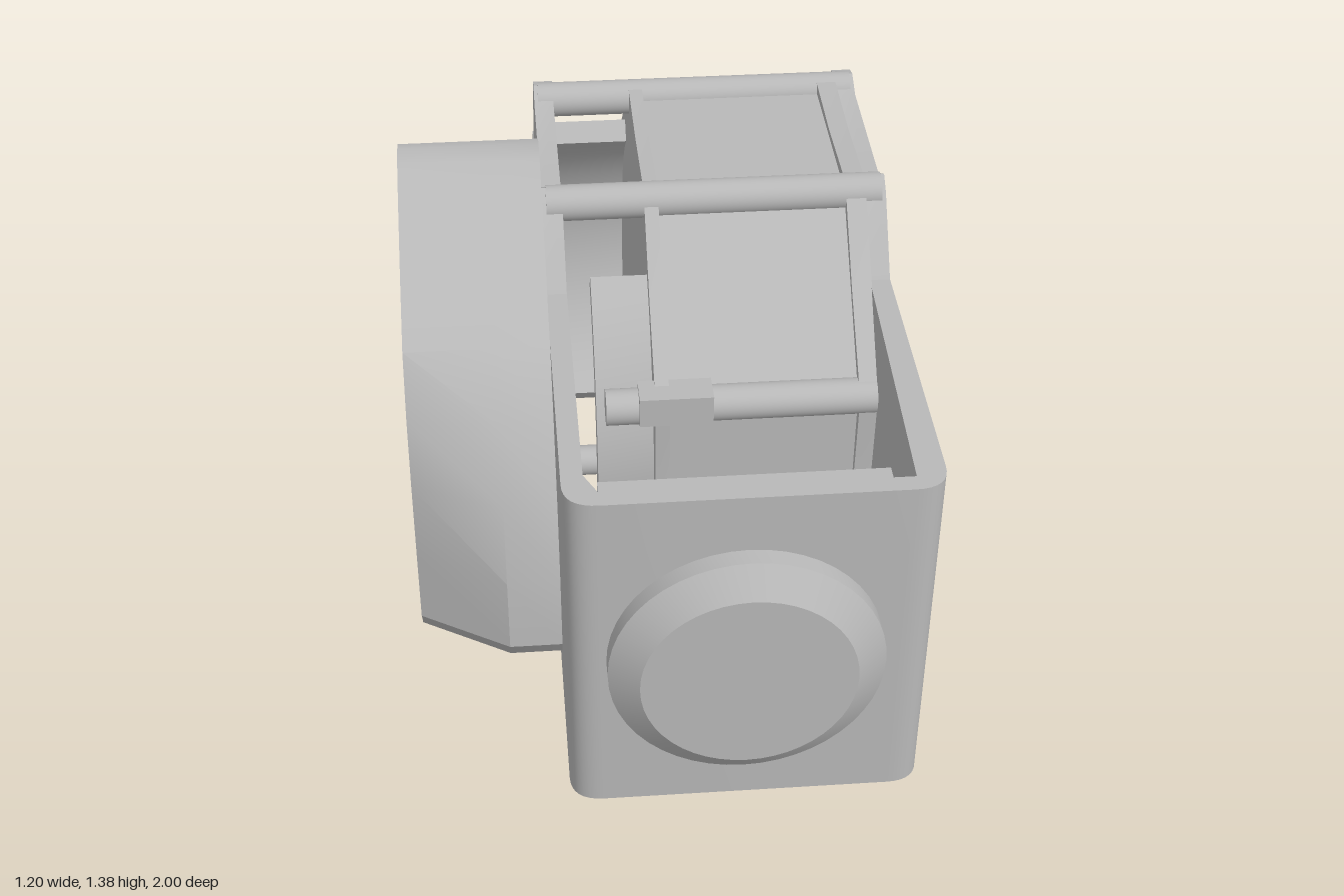
import * as THREE from 'three';
import { toCreasedNormals } from 'three/addons/utils/BufferGeometryUtils.js';

const grey = new THREE.MeshStandardMaterial({ color: 0xb8b8b8 });
grey.name = 'grey casting';
const CY = 0.68, CZ = -0.32; // drum axis

export function createModel() {
  const model = new THREE.Group();
  model.name = 'drumHousing';

  const add = (name, geometry, x = 0, y = 0, z = 0) => {
    const mesh = new THREE.Mesh(geometry, grey);
    mesh.name = name;
    mesh.position.set(x, y, z);
    model.add(mesh);
    return mesh;
  };
  const box = (name, x0, x1, y0, y1, z0, z1) =>
    add(name, new THREE.BoxGeometry(x1 - x0, y1 - y0, z1 - z0), (x0 + x1) / 2, (y0 + y1) / 2, (z0 + z1) / 2);
  const toV2 = pts => pts.map(([z, y]) => new THREE.Vector2(-z, y));
  // Slab cut from a (z, y) outline, running from x0 to x1
  const slab = (name, pts, x0, x1, hole) => {
    const shape = new THREE.Shape(toV2(pts));
    if (hole) shape.holes.push(new THREE.Path(toV2(hole)));
    const g = new THREE.ExtrudeGeometry(shape, { depth: x1 - x0, bevelEnabled: false });
    g.rotateY(Math.PI / 2);
    return add(name, toCreasedNormals(g, 0.5), x0);
  };
  const disc = (name, r, x0, x1, y = CY, z = CZ) => {
    const g = new THREE.CylinderGeometry(r, r, x1 - x0, 48);
    g.rotateZ(Math.PI / 2);
    return add(name, g, (x0 + x1) / 2, y, z);
  };
  const polar = (r, a) => [CZ + r * Math.cos(a), CY + r * Math.sin(a)];
  const corner = i => Math.PI / 8 + i * Math.PI / 4;

  // Side plates: an arm that widens into the eight-sided drum end
  const plate = [
    [0.1, 1.14], [-0.03, 1.31], [-0.07, 1.34], [-0.14, 1.3], [-0.52, 1.31], [-0.58, 1.34], [-0.62, 1.33],
    [-0.87, 0.99], [-0.96, 0.98], [-0.985, 0.93], [-0.94, 0.86], [-0.99, 0.78], [-1, 0.68], [-0.99, 0.58],
    [-0.94, 0.51], [-0.985, 0.45], [-0.98, 0.39], [-0.62, 0.02], [-0.58, 0.01], [-0.52, 0.05],
    [-0.3, 0.04], [-0.14, 0.05], [-0.07, 0.005], [-0.03, 0.03], [0.15, 0.21],
  ];
  const collar = [
    [0.11, 0.88], [-0.12, 1.11], [-0.42, 1.14], [-0.68, 1.02], [-0.76, 0.87],
    [-0.76, 0.48], [-0.47, 0.23], [-0.16, 0.25], [0.11, 0.48],
  ];
  const opening = [
    [0.08, 0.68], [-0.1, 1.01], [-0.32, 1.08], [-0.65, 0.9], [-0.66, 0.48], [-0.32, 0.29], [-0.12, 0.34],
  ];
  slab('leftSidePlate', plate, 0.55, 0.6, collar);
  slab('openingCollar', collar, 0.55, 0.596, opening);
  slab('rightSidePlate', plate, -0.25, -0.2);

  // U-shaped strap with rounded front corners (drawn in x and -z)
  const u = new THREE.Shape();
  u.moveTo(-0.25, -0.09);
  u.lineTo(-0.25, -0.83);
  u.quadraticCurveTo(-0.25, -0.905, -0.17, -0.905);
  u.lineTo(0.52, -0.905);
  u.quadraticCurveTo(0.6, -0.905, 0.6, -0.83);
  u.lineTo(0.6, -0.09);
  u.lineTo(0.55, -0.09);
  u.lineTo(0.53, -0.86);
  u.lineTo(-0.17, -0.86);
  u.lineTo(-0.2, -0.8);
  u.lineTo(-0.2, -0.09);
  const strap = new THREE.ExtrudeGeometry(u, { depth: 0.93, bevelEnabled: false, curveSegments: 8 });
  strap.rotateX(-Math.PI / 2);
  add('frontStrap', toCreasedNormals(strap, 0.5), 0, 0.21, 0);
  box('strapPad', -0.17, 0.48, 0.215, 1.135, 0.82, 0.865);

  // Round boss on the front
  const profile = [[0.32, 0], [0.32, 0.05], [0.25, 0.1], [0, 0.1]].map(p => new THREE.Vector2(...p));
  const boss = new THREE.LatheGeometry(profile, 48);
  boss.rotateX(Math.PI / 2);
  add('frontBoss', toCreasedNormals(boss, 0.4), 0.16, 0.67, 0.9);

  // Eight-sided drum with flared rims
  const drum = [], rim = [];
  for (let i = 0; i < 8; i++) {
    drum.push(polar(0.68, corner(i)));
    rim.push(polar(0.71, corner(i)), polar(0.645, corner(i) + Math.PI / 8));
  }
  slab('drum', drum, 0, 0.552);
  slab('innerRim', rim, 0, 0.035);
  slab('outerRim', rim, 0.5, 0.55);
  box('rearPanel', 0.03, 0.52, 0.52, 0.84, -0.99, -0.9);

  // Tie rods on the drum corners, the front pair stopping short of the strap wall
  for (let i = 0; i < 8; i++) {
    const [z, y] = polar(0.67, corner(i));
    disc('tieRod', 0.045, i === 0 || i === 7 ? -0.12 : -0.24, 0.59, y, z);
  }

  // Curved shells bridging the gap beside the drum
  for (const middle of [0, Math.PI]) {
    const arc = [], n = 16, half = 0.9;
    for (let i = 0; i <= n; i++) arc.push(polar(0.61, middle - half + 2 * half * i / n));
    for (let i = n; i >= 0; i--) arc.push(polar(0.55, middle - half + 2 * half * i / n));
    slab('curvedShell', arc, middle ? -0.2 : -0.14, 0.01);
  }

  // Small brackets at the front and back corners
  for (const y of [0.95, 0.41]) {
    box('backBracket', -0.04, 0.14, y - 0.04, y + 0.04, -0.985, -0.93);
    box('frontBracket', -0.04, 0.14, y - 0.04, y + 0.04, 0.27, 0.35);
  }

  // Stepped hub on the right side
  disc('largeHub', 0.51, -0.37, -0.24);
  disc('smallHub', 0.3, -0.465, -0.36);

  // Domed cover with a chamfered outer front edge
  const cover = [
    [-0.32, 0.34], [0.52, 0.34], [0.56, 0.4], [0.55, 0.6], [0.5, 0.8], [0.41, 0.98], [0.3, 1.13],
    [0.13, 1.24], [-0.05, 1.34], [-0.14, 1.38], [-0.2, 1.39], [-0.24, 1.38], [-0.262, 1.35],
  ];
  const n = cover.length, pos = [], index = [];
  [[-0.25, 0], [-0.38, 0], [-0.6, 0.13]].forEach(([x, cut]) => {
    for (const [z, y] of cover) {
      const k = z > 0.2 ? THREE.MathUtils.clamp((1.1 - y) / 0.4, 0, 1) : 0;
      pos.push(x, y, z - cut * k);
    }
  });
  for (let i = 0; i < 2; i++) {
    for (let j = 0; j < n; j++) {
      const a = i * n + j, b = i * n + (j + 1) % n;
      index.push(a, b, b + n, a, b + n, a + n);
    }
  }
  const caps = THREE.ShapeUtils.triangulateShape(cover.map(p => new THREE.Vector2(...p)), []);
  for (const [a, b, c] of caps) index.push(a + 2 * n, b + 2 * n, c + 2 * n, a, c, b);
  const g = new THREE.BufferGeometry();
  g.setAttribute('position', new THREE.Float32BufferAttribute(pos, 3));
  g.setIndex(index);
  add('sideCover', toCreasedNormals(g, 0.5));

  return model;
}
